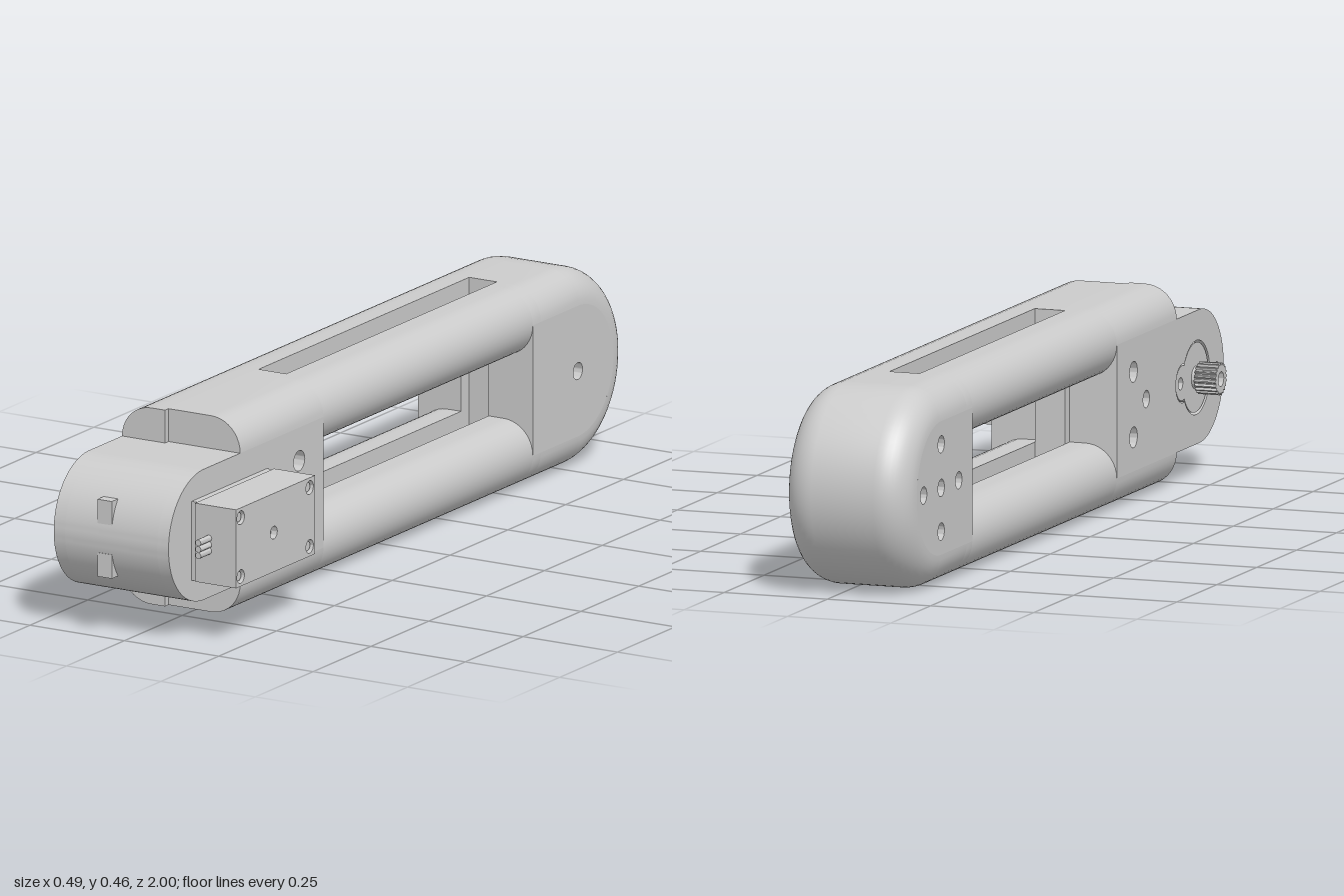
import * as THREE from 'three';
import { toCreasedNormals } from 'three/addons/utils/BufferGeometryUtils.js';

const XL = -0.187, XR = 0.117;   // outer sides of the arm
const H = 0.46, MID = 0.23;      // height and centre line
const R = 0.077;                 // edge rounding
const T = 0.03;                  // side plate thickness
const SPLIT = -0.073;            // joint between the two shells, also one slot edge

export function createModel() {
  const model = new THREE.Group();
  const material = new THREE.MeshStandardMaterial({ color: 0xcccccc });

  const add = (name, geometry) => {
    const mesh = new THREE.Mesh(toCreasedNormals(geometry, 0.6), material);
    mesh.name = name;
    model.add(mesh);
  };
  const box = (name, x0, x1, y0, y1, z0, z1) => add(name,
    new THREE.BoxGeometry(x1 - x0, y1 - y0, z1 - z0)
      .translate((x0 + x1) / 2, (y0 + y1) / 2, (z0 + z1) / 2));
  // Shape drawn in (z, y), extruded from x0 to x1
  const slab = (name, shape, x0, x1) => add(name,
    new THREE.ExtrudeGeometry(shape, { depth: x1 - x0, bevelEnabled: false, curveSegments: 24 })
      .rotateY(-Math.PI / 2).translate(x1, 0, 0));
  // Shape drawn in (x, y), extruded from z0 to z1
  const beam = (name, shape, z0, z1) => add(name,
    new THREE.ExtrudeGeometry(shape, { depth: z1 - z0, bevelEnabled: false, curveSegments: 12 })
      .translate(0, 0, z0));
  const circle = (z, y, r) => new THREE.Path().absarc(z, y, r, 0, Math.PI * 2, false);

  // Half cross-section, rounded on the outside; the notch seats a side plate
  const half = (s, xi, y0, y1, notch) => {
    const xo = s > 0 ? XR : XL, p = new THREE.Shape();
    const arc = (cy, a0, a1) => {
      for (let i = 0; i <= 10; i++) {
        const a = a0 + (a1 - a0) * i / 10;
        p.lineTo(xo - s * R + s * R * Math.cos(a), cy + R * Math.sin(a));
      }
    };
    p.moveTo(xi, y0);
    arc(y0 + R, -Math.PI / 2, 0);
    if (notch) {
      p.lineTo(xo - s * T, y0 + R);
      p.lineTo(xo - s * T, y1 - R);
    }
    arc(y1 - R, 0, Math.PI / 2);
    p.lineTo(xi, y1);
    p.closePath();
    return p;
  };

  // Front block, rails, slot ends and rear block, one half at a time
  for (const s of [-1, 1]) {
    const side = s > 0 ? 'left' : 'right';
    const slotEdge = s > 0 ? 0 : SPLIT;
    beam(side + 'FrontBlock', half(s, SPLIT, 0, H, true), 0.33, s > 0 ? 0.69 : 0.705);
    beam(side + 'UpperRail', half(s, slotEdge, H - 2 * R, H, false), -0.575, 0.33);
    beam(side + 'LowerRail', half(s, slotEdge, 0, 2 * R, false), -0.575, 0.33);
    beam(side + 'SlotEnd', half(s, slotEdge, 0, H, true), -0.61, -0.575);
    beam(side + 'RearBlock', half(s, SPLIT, 0, H, true), -0.77, -0.61);
  }
  box('frontSlotEnd', SPLIT, 0, 0, H, 0.3, 0.33);

  // Rounded rear end: half a turn of the edge profile
  const profile = [[0, XL + T], [MID - R, XL + T]];
  for (const s of [-1, 1]) {
    for (let i = 0; i <= 10; i++) {
      const a = (s < 0 ? -1 + i / 10 : i / 10) * Math.PI / 2;
      const cx = s < 0 ? XL + R : XR - R;
      profile.push([MID - R + R * Math.cos(a), cx + R * Math.sin(a)]);
    }
  }
  profile.push([MID - R, XR - T], [0, XR - T]);
  add('rearCap', new THREE.LatheGeometry(profile.map(p => new THREE.Vector2(...p)), 40, Math.PI / 2, Math.PI)
    .rotateZ(-Math.PI / 2).translate(0, MID, -0.77));

  // Stadium-ended plate outline from z0 to a round end centred at zc
  const tongue = (z0, zc, r) => {
    const d = Math.sign(zc - z0), p = new THREE.Shape();
    p.moveTo(z0, MID - r);
    p.lineTo(zc, MID - r);
    p.absarc(zc, MID, r, -Math.PI / 2, Math.PI / 2 * (d > 0 ? 1 : -3), d < 0);
    p.lineTo(z0, MID + r);
    p.closePath();
    return p;
  };
  // Two overlapping circles around the output shaft
  const hornOutline = (Type, gap) => {
    const z1 = 0.828, z2 = 0.745, r1 = 0.085 - gap, r2 = 0.045 - gap, d = z1 - z2;
    const a = (d * d + r1 * r1 - r2 * r2) / (2 * d), h = Math.sqrt(r1 * r1 - a * a);
    const b1 = Math.PI - Math.atan2(h, a), b2 = Math.atan2(h, d - a);
    return new Type().absarc(z1, MID, r1, -b1, b1, false)
      .absarc(z2, MID, r2, b2, Math.PI * 2 - b2, false);
  };

  // Side plates with screw holes
  const frontHoles = () => [circle(0.435, 0.305, 0.024), circle(0.435, 0.155, 0.024), circle(0.515, MID, 0.02)];
  const rightPlate = tongue(0.33, 0.847, 0.153);
  rightPlate.holes.push(...frontHoles(), circle(0.955, MID, 0.016), hornOutline(THREE.Path, 0));
  slab('rightFrontPlate', rightPlate, XL, XL + T);

  const leftPlate = tongue(0.33, 0.847, 0.153);
  const cableHole = new THREE.Path([[0.55, 0.2], [0.59, 0.2], [0.59, 0.26], [0.55, 0.26], [0.55, 0.2]]
    .map(p => new THREE.Vector2(...p)));
  leftPlate.holes.push(...frontHoles(), cableHole);
  slab('leftFrontPlate', leftPlate, XR - T, XR);

  const rightRear = tongue(-0.575, -0.77, 0.153);
  for (const [dz, dy] of [[0, 0], [0.11, 0], [-0.11, 0], [0, 0.1], [0, -0.1]])
    rightRear.holes.push(circle(-0.77 + dz, MID + dy, 0.02));
  slab('rightRearPlate', rightRear, XL, XL + T);
  const leftRear = tongue(-0.575, -0.77, 0.153);
  leftRear.holes.push(circle(-0.77, MID, 0.02));
  slab('leftRearPlate', leftRear, XR - T, XR);

  // Head between the plates, with two clips on its nose
  slab('head', tongue(0.65, 0.847, 0.153), XL + T, XR - T);
  for (const s of [-1, 1]) {
    const y = MID + s * 0.0625;
    box('noseClip', SPLIT, -0.035, y - 0.028, y + 0.028, 0.94, 0.997);
  }

  // Output disc, shaft and knurled knob
  const disc = hornOutline(THREE.Shape, 0.005);
  disc.holes.push(circle(0.735, MID, 0.014));
  slab('outputDisc', disc, XL + 0.002, XL + T);
  slab('shaft', new THREE.Shape().absarc(0.828, MID, 0.026, 0, Math.PI * 2, false), -0.2, XL + 0.01);
  const teeth = 20, knob = new THREE.Shape();
  for (let i = 0; i < teeth * 4; i++) {
    const a = (i + 0.5) / (teeth * 4) * Math.PI * 2, r = i % 4 < 2 ? 0.037 : 0.032;
    knob[i ? 'lineTo' : 'moveTo'](0.828 + r * Math.cos(a), MID + r * Math.sin(a));
  }
  knob.closePath();
  knob.holes.push(circle(0.828, MID, 0.017));
  slab('knob', knob, -0.247, -0.195);

  // Motor case with a screwed cover and three connector pins
  box('motorBase', XR, 0.165, 0.135, 0.32, 0.575, 0.9);
  box('motorCase', 0.135, 0.228, 0.138, 0.322, 0.573, 0.915);
  const cover = new THREE.Shape([[0.573, 0.138], [0.915, 0.138], [0.915, 0.322], [0.573, 0.322]]
    .map(p => new THREE.Vector2(...p)));
  cover.holes.push(circle(0.752, MID, 0.015));
  for (const z of [0.597, 0.905 - 0.01]) for (const y of [0.161, 0.299]) {
    cover.holes.push(circle(z, y, 0.016));
    slab('coverScrew', new THREE.Shape().absarc(z, y, 0.011, 0, Math.PI * 2, false), 0.225, 0.238);
  }
  slab('motorCover', cover, 0.228, 0.244);
  for (const y of [0.215, MID, 0.245]) {
    add('connectorPin', new THREE.CylinderGeometry(0.0075, 0.0075, 0.06, 12)
      .rotateX(Math.PI / 2).translate(0.172, y, 0.932));
  }
  return model;
}
